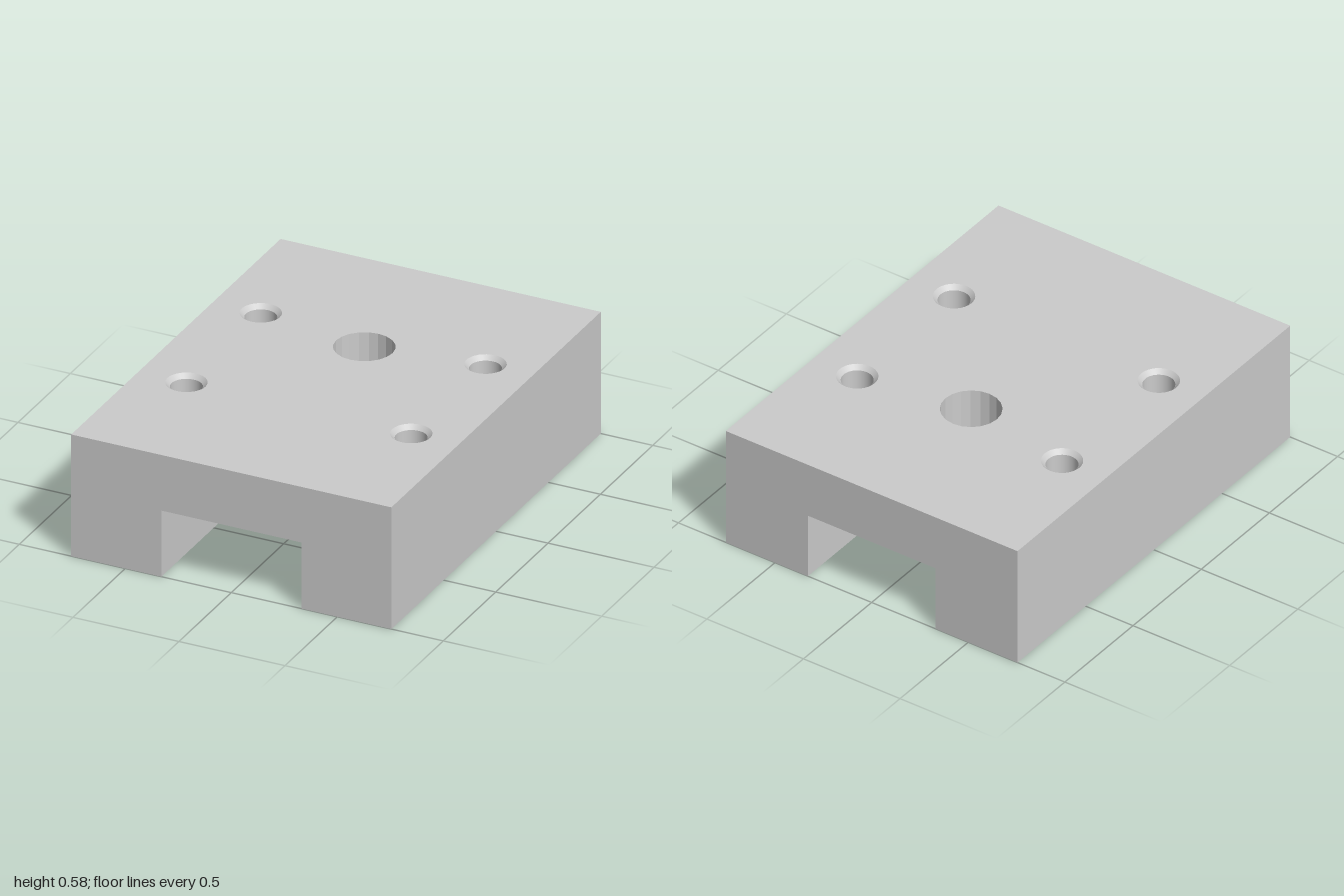
import * as THREE from 'three';
import { mergeGeometries } from 'three/addons/utils/BufferGeometryUtils.js';

const W = 0.755, L = 1, H = 0.58;          // half width, half length, height
const SLOT_W = 0.33, SLOT_H = 0.315;       // channel half width and ceiling
const BORE = { x: 0, z: -0.27, r: 0.133, n: 20 };
const R_OUT = 0.09, R_IN = 0.07, N = 32;   // blind holes: chamfer and bore radius
const CHAMFER = 0.02, DEPTH = 0.28;
const blindHoles = [];
for (const x of [-0.53, 0.53]) for (const z of [-0.355, 0.355]) blindHoles.push({ x, z, r: R_OUT, n: N });

const material = new THREE.MeshStandardMaterial({ color: 0xcccccc });
const flatMaterial = new THREE.MeshStandardMaterial({ color: 0xcccccc, flatShading: true });

// Horizontal rectangle with round openings, facing up (dir = 1) or down (dir = -1)
function deck(halfWidth, y, dir, holes) {
  const shape = new THREE.Shape([[-1, -1], [1, -1], [1, 1], [-1, 1]]
    .map(([a, b]) => new THREE.Vector2(a * halfWidth, b * L)));
  for (const h of holes) {
    const ring = [];
    for (let i = 0; i < h.n; i++) {
      const a = (i / h.n) * Math.PI * 2;
      ring.push(new THREE.Vector2(h.x + h.r * Math.cos(a), -dir * h.z + h.r * Math.sin(a)));
    }
    shape.holes.push(new THREE.Path(ring));
  }
  return new THREE.ShapeGeometry(shape).rotateX(-dir * Math.PI / 2).translate(0, y, 0);
}

// Flat panel spanning the full length between two points of the end profile
function panel([x0, y0], [x1, y1]) {
  const g = new THREE.BufferGeometry();
  const quad = [[x0, y0, L], [x0, y0, -L], [x1, y1, -L], [x1, y1, L]];
  const normal = new THREE.Vector3(y1 - y0, x0 - x1, 0).normalize().toArray();
  g.setAttribute('position', new THREE.Float32BufferAttribute(quad.flat(), 3));
  g.setAttribute('normal', new THREE.Float32BufferAttribute([normal, normal, normal, normal].flat(), 3));
  g.setAttribute('uv', new THREE.Float32BufferAttribute([0, 0, 1, 0, 1, 1, 0, 1], 2));
  g.setIndex([0, 1, 2, 0, 2, 3]);
  return g;
}

// Inward-facing surface of revolution; points run from top to bottom
const cavity = (points, n) =>
  new THREE.LatheGeometry(points.map(([r, y]) => new THREE.Vector2(r, y)), n);

export function createModel() {
  const group = new THREE.Group();
  const add = (name, geometry, mat = material) => {
    const mesh = new THREE.Mesh(geometry, mat);
    mesh.name = name;
    group.add(mesh);
    return mesh;
  };

  // Channel block: end faces, sides, feet, slot walls, slot ceiling and top
  const profile = [[-W, H], [-W, 0], [-SLOT_W, 0], [-SLOT_W, SLOT_H],
    [SLOT_W, SLOT_H], [SLOT_W, 0], [W, 0], [W, H]];
  const end = new THREE.ShapeGeometry(new THREE.Shape(profile.map(p => new THREE.Vector2(...p))));
  const parts = [
    end.clone().translate(0, 0, L),
    end.clone().rotateY(Math.PI).translate(0, 0, -L),
    deck(W, H, 1, [BORE, ...blindHoles]),
    deck(SLOT_W, SLOT_H, -1, [BORE]),
  ];
  for (let i = 0; i < 7; i++) if (i !== 3) parts.push(panel(profile[i], profile[i + 1]));
  add('channelBlock', mergeGeometries(parts));

  // Faceted through bore between the top and the slot ceiling
  add('throughBore', cavity([[BORE.r, H], [BORE.r, SLOT_H]], BORE.n), flatMaterial)
    .position.set(BORE.x, 0, BORE.z);

  // Chamfered blind holes with rounded bottoms
  const dome = [];
  for (let i = 0; i <= 8; i++) {
    const a = (i / 8) * Math.PI / 2;
    dome.push([R_IN * Math.cos(a), H - DEPTH - R_IN * Math.sin(a)]);
  }
  const blind = mergeGeometries([
    cavity([[R_OUT, H], [R_IN, H - CHAMFER]], N),
    cavity([[R_IN, H - CHAMFER], [R_IN, H - DEPTH]], N),
    cavity(dome, N),
  ]);
  for (const h of blindHoles) add('blindHole', blind).position.set(h.x, 0, h.z);

  return group;
}
